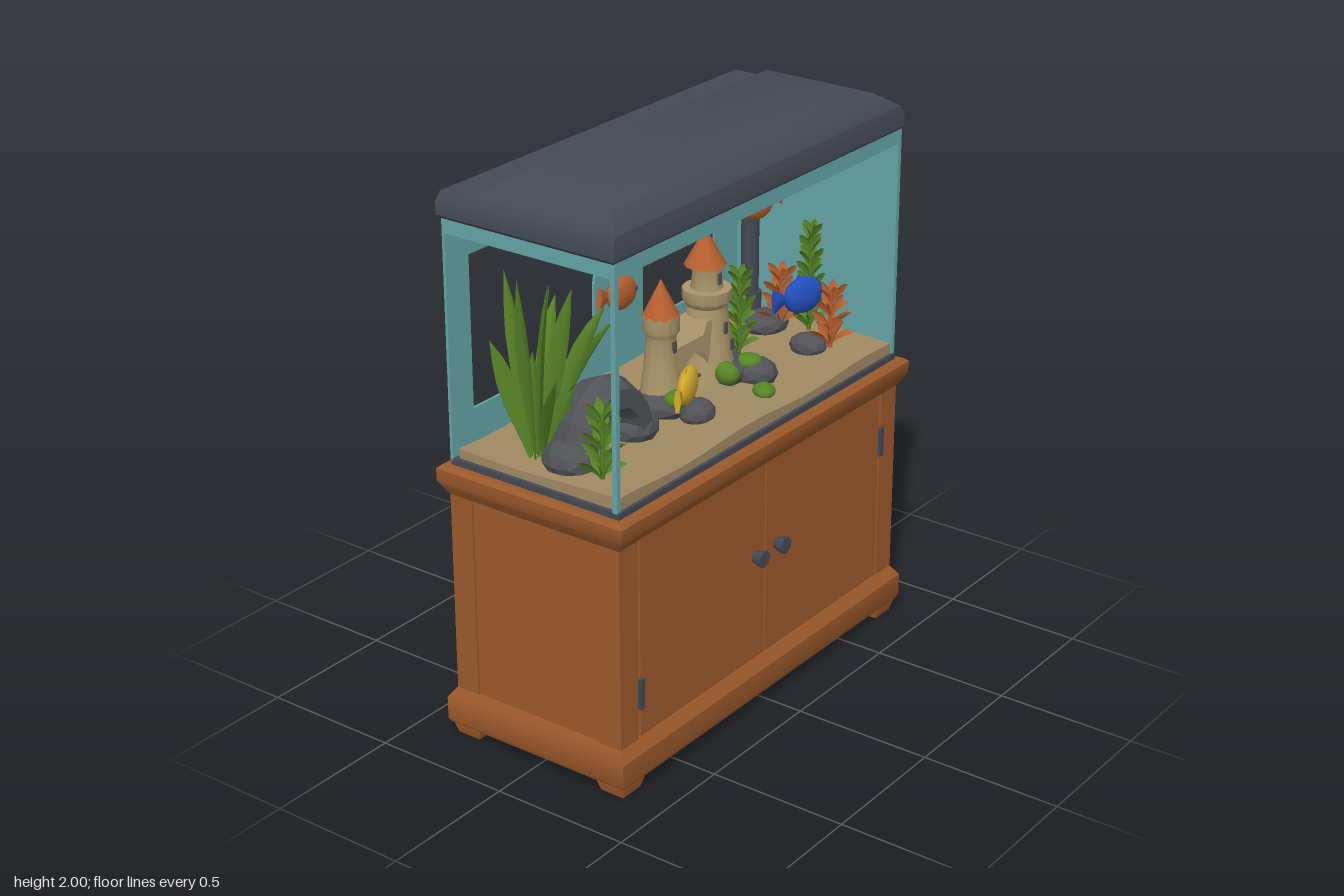
import * as THREE from 'three';
import { toCreasedNormals } from 'three/addons/utils/BufferGeometryUtils.js';

const material = (name, color, extra = {}) => {
  const m = new THREE.MeshStandardMaterial({ color, ...extra });
  m.name = name;
  return m;
};

export function createModel() {
  const root = new THREE.Group();
  root.name = 'aquariumOnCabinet';
  const wood = material('wood', 0x9c592b);
  const glass = material('glass', 0x66a5a8);
  const dark = material('darkPlastic', 0x444954);
  const sand = material('sand', 0xa18a63);
  const stone = material('castleStone', 0xac966c);
  const rock = material('rock', 0x515257, { flatShading: true });
  const orange = material('orange', 0xb8602f, { side: THREE.DoubleSide });
  const yellow = material('yellow', 0xd2aa2a);
  const blue = material('blue', 0x2450c2);
  const green = material('leafGreen', 0x578526, { side: THREE.DoubleSide });

  const group = (name) => {
    const g = new THREE.Group();
    g.name = name;
    root.add(g);
    return g;
  };
  const add = (parent, name, geo, mat, x = 0, y = 0, z = 0) => {
    const m = new THREE.Mesh(geo, mat);
    m.name = name;
    m.position.set(x, y, z);
    parent.add(m);
    return m;
  };
  const box = (parent, name, mat, x0, x1, y0, y1, z0, z1) =>
    add(parent, name, new THREE.BoxGeometry(x1 - x0, y1 - y0, z1 - z0), mat,
      (x0 + x1) / 2, (y0 + y1) / 2, (z0 + z1) / 2);

  // Stack of rectangles [y, x0, x1, z0, z1] joined into a closed solid
  const loft = (rings) => {
    const pos = [], idx = [];
    rings.forEach(([y, x0, x1, z0, z1]) => pos.push(x0, y, z1, x1, y, z1, x1, y, z0, x0, y, z0));
    for (let i = 0; i < rings.length - 1; i++) for (let j = 0; j < 4; j++) {
      const a = i * 4 + j, b = i * 4 + (j + 1) % 4;
      idx.push(a, b, b + 4, a, b + 4, a + 4);
    }
    const t = (rings.length - 1) * 4;
    idx.push(t, t + 1, t + 2, t, t + 2, t + 3, 0, 2, 1, 0, 3, 2);
    const g = new THREE.BufferGeometry();
    g.setAttribute('position', new THREE.Float32BufferAttribute(pos, 3));
    g.setIndex(idx);
    return toCreasedNormals(g, 0.6);
  };
  const ring = (y, x, z) => [y, -x, x, -z, z];

  // Cabinet
  const cabinet = group('cabinet');
  box(cabinet, 'body', wood, -0.79, 0.79, 0.06, 0.95, -0.335, 0.335);
  add(cabinet, 'topMoulding', loft([ring(0.895, 0.797, 0.345), ring(0.925, 0.815, 0.365),
    ring(0.945, 0.825, 0.378), ring(0.988, 0.825, 0.378), ring(1.0, 0.81, 0.365)]), wood);
  add(cabinet, 'plinth', loft([ring(0.045, 0.815, 0.365), ring(0.06, 0.822, 0.372),
    ring(0.14, 0.822, 0.372), ring(0.178, 0.797, 0.345)]), wood);
  for (const sx of [-1, 1]) for (const sz of [-1, 1]) {
    add(cabinet, 'cornerPost', new THREE.BoxGeometry(0.095, 0.76, 0.09), wood, sx * 0.75, 0.54, sz * 0.3);
    add(cabinet, 'foot', loft([ring(0, 0.045, 0.045), ring(0.035, 0.055, 0.055), ring(0.05, 0.055, 0.055)]),
      wood, sx * 0.75, 0, sz * 0.305);
  }
  for (const s of [-1, 1]) {
    add(cabinet, 'door', new THREE.BoxGeometry(0.689, 0.715, 0.016), wood, s * 0.348 - 0.003, 0.542, 0.339);
    const knob = add(cabinet, 'knob', new THREE.CylinderGeometry(0.032, 0.02, 0.042, 7), dark, s * 0.063, 0.575, 0.366);
    knob.rotation.x = Math.PI / 2;
    const hy = s < 0 ? 0.35 : 0.72;
    box(cabinet, 'hinge', dark, s * 0.697 - 0.01, s * 0.697 + 0.01, hy - 0.06, hy + 0.05, 0.335, 0.358);
  }

  // Tank: open front and one open side, glass on the back and the other side
  const tank = group('tank');
  box(tank, 'baseRim', dark, -0.79, 0.79, 0.995, 1.022, -0.342, 0.342);
  const bed = new THREE.BoxGeometry(1.55, 0.04, 0.65, 14, 1, 6);
  const bp = bed.attributes.position;
  for (let i = 0; i < bp.count; i++) if (bp.getY(i) > 0)
    bp.setY(i, 0.018 + 0.008 * Math.sin(bp.getX(i) * 9 + bp.getZ(i) * 7));
  bed.computeVertexNormals();
  add(tank, 'sandBed', bed, sand, 0, 1.04, 0.005);
  box(tank, 'sideGlass', glass, 0.78, 0.792, 1.02, 1.85, -0.342, 0.336);
  const back = new THREE.Shape([[-0.79, 1.015], [0.79, 1.015], [0.79, 1.85], [-0.79, 1.85]]
    .map((p) => new THREE.Vector2(...p)));
  const opening = new THREE.Path();
  opening.moveTo(-0.68, 1.16);
  opening.lineTo(-0.05, 1.16);
  opening.absarc(0.085, 1.37, 0.135, Math.PI, 0, true);
  opening.lineTo(0.22, 1.16);
  opening.lineTo(0.64, 1.16);
  opening.lineTo(0.64, 1.69);
  opening.lineTo(-0.68, 1.69);
  back.holes.push(opening);
  add(tank, 'backGlass', new THREE.ExtrudeGeometry(back, { depth: 0.01, bevelEnabled: false }), glass, 0, 0, -0.345);
  box(tank, 'frontTopStrip', glass, -0.79, 0.79, 1.795, 1.85, 0.326, 0.336);
  box(tank, 'sideTopStrip', glass, -0.792, -0.782, 1.795, 1.85, -0.34, 0.336);
  for (const x of [-0.783, 0.783])
    add(tank, 'frontCorner', new THREE.BoxGeometry(0.018, 0.83, 0.018), glass, x, 1.435, 0.327);

  // Hood
  const hood = group('hood');
  add(hood, 'hoodRim', loft([[1.845, -0.795, 0.79, -0.35, 0.335], [1.855, -0.803, 0.795, -0.355, 0.342],
    [1.9, -0.803, 0.795, -0.355, 0.342], [1.93, -0.785, 0.78, -0.35, 0.335]]), dark);
  add(hood, 'hoodLid', loft([[1.92, -0.785, 0.785, -0.218, 0.336], [1.935, -0.775, 0.77, -0.215, 0.33],
    [1.98, -0.735, 0.705, -0.155, 0.275], [2.0, -0.69, 0.655, -0.13, 0.225]]), dark);

  // Filter with its intake pipe
  const filter = group('filter');
  add(filter, 'filterBox', loft([[1.61, 0.635, 0.7, -0.27, -0.13], [1.66, 0.61, 0.72, -0.3, -0.1],
    [1.77, 0.6, 0.725, -0.3, -0.1]]), dark);
  add(filter, 'filterPipe', new THREE.CylinderGeometry(0.032, 0.032, 0.52, 10), dark, 0.668, 1.37, -0.2);
  add(filter, 'filterIntake', new THREE.CylinderGeometry(0.042, 0.042, 0.1, 10), dark, 0.668, 1.12, -0.2);

  // Rocks and moss: [x, y, z, rx, ry, rz]
  const rocks = group('rocks');
  const lump = (name, mat, [x, y, z, a, b, c], i) => {
    const m = add(rocks, name, new THREE.IcosahedronGeometry(1, 1), mat, x, y, z);
    m.scale.set(a, b, c);
    m.rotation.y = i * 1.3;
  };
  [[-0.66, 1.08, 0.05, 0.09, 0.07, 0.1], [-0.35, 1.08, 0.06, 0.08, 0.06, 0.09], [-0.13, 1.08, 0.02, 0.11, 0.05, 0.11],
    [0.18, 1.09, 0, 0.13, 0.07, 0.12], [0.25, 1.08, 0.12, 0.08, 0.055, 0.07], [-0.12, 1.07, 0.15, 0.07, 0.05, 0.06],
    [0.57, 1.07, 0.12, 0.07, 0.045, 0.06], [0.65, 1.07, -0.12, 0.09, 0.05, 0.08], [-0.42, 1.06, -0.12, 0.1, 0.05, 0.08],
  ].forEach((r, i) => lump('rock', rock, r, i));
  [[-0.15, 1.115, 0.09, 0.05, 0.03, 0.045], [0.11, 1.12, 0.1, 0.055, 0.04, 0.04], [0.24, 1.12, 0.1, 0.05, 0.025, 0.05],
    [0.16, 1.07, 0.22, 0.05, 0.025, 0.04], [0.1, 1.13, -0.12, 0.05, 0.03, 0.04],
  ].forEach((r, i) => lump('moss', green, r, i));
  const arch = add(rocks, 'rockArch', new THREE.TorusGeometry(0.155, 0.055, 6, 10, Math.PI), rock, -0.5, 1.06, 0.05);
  arch.scale.set(0.95, 1.2, 1.6);

  // Castle
  const castle = group('castle');
  const wall = new THREE.Shape([[-0.13, 1.06], [-0.075, 1.06], [-0.075, 1.14], [-0.05, 1.2], [0, 1.225], [0.05, 1.2],
    [0.075, 1.14], [0.075, 1.06], [0.15, 1.06], [0.15, 1.31], [0.06, 1.31], [0.04, 1.27], [-0.13, 1.27]]
    .map((p) => new THREE.Vector2(...p)));
  add(castle, 'gateWall', new THREE.ExtrudeGeometry(wall, { depth: 0.11, bevelEnabled: false }), stone, 0, 0, -0.055);
  const tower = (name, profile, x) =>
    add(castle, name, toCreasedNormals(new THREE.LatheGeometry(profile.map((p) => new THREE.Vector2(...p)), 12), 0.7), stone, x);
  tower('smallTower', [[0.078, 1.06], [0.062, 1.18], [0.05, 1.31], [0.062, 1.33], [0.062, 1.385], [0, 1.385]], -0.12);
  tower('tallTower', [[0.105, 1.06], [0.085, 1.18], [0.07, 1.34], [0.085, 1.36], [0.085, 1.4], [0.056, 1.4],
    [0.05, 1.45], [0.058, 1.49], [0, 1.49]], 0.135);
  add(castle, 'smallRoof', new THREE.ConeGeometry(0.064, 0.13, 10), orange, -0.12, 1.445);
  add(castle, 'tallRoof', new THREE.ConeGeometry(0.073, 0.13, 10), orange, 0.125, 1.55);
  box(castle, 'flagPole', stone, 0.122, 0.128, 1.6, 1.645, -0.003, 0.003);
  box(castle, 'flag', orange, 0.128, 0.15, 1.622, 1.645, -0.003, 0.003);
  for (const [x, y, z] of [[-0.12, 1.28, 0.055], [0.135, 1.27, 0.078], [0.135, 1.44, 0.052], [0.17, 1.2, 0.08]])
    box(castle, 'castleWindow', rock, x - 0.009, x + 0.009, y - 0.02, y + 0.02, z - 0.003, z + 0.004);

  // Leaf blade bent along a curve from base to tip
  const blade = (parent, mat, base, tip, width, turn, rise = 0.6) => {
    const a = new THREE.Vector3(...base), c = new THREE.Vector3(...tip);
    const b = new THREE.Vector3().lerpVectors(a, c, 0.35);
    b.y = a.y + (c.y - a.y) * rise;
    const curve = new THREE.QuadraticBezierCurve3(a, b, c);
    const face = new THREE.Vector3(Math.sin(turn), 0.15, Math.cos(turn));
    const geo = new THREE.PlaneGeometry(1, 1, 2, 6), p = geo.attributes.position;
    for (let i = 0; i < p.count; i++) {
      const t = p.getY(i) + 0.5, s = p.getX(i) * 2;
      const side = curve.getTangent(t).cross(face).normalize();
      const half = width * (0.12 * (1 - t) + Math.sin(Math.PI * t ** 1.2)) / 2;
      const v = curve.getPoint(t).addScaledVector(side, s * half).addScaledVector(face, -Math.abs(s) * half * 0.4);
      p.setXYZ(i, v.x, v.y, v.z);
    }
    geo.computeVertexNormals();
    add(parent, 'leaf', geo, mat);
  };

  // Tall broad-leaved plant
  const tall = group('tallPlant');
  for (let i = 0; i < 20; i++) {
    const t = (i % 10) / 9, low = i < 10 ? 0 : 1;
    const z = -0.06 + 0.13 * Math.sin(i * 2.4);
    blade(tall, green, [-0.7 + 0.06 * t, 1.06, -0.05 + z * 0.2],
      [-0.775 + (low ? 0.3 : 0.42) * t, 1.7 - 0.26 * t ** 1.5 - low * (0.15 + 0.08 * (i % 3)), z],
      0.062, Math.sin(i * 1.7) * 0.7, 0.5 + 0.2 * t);
  }

  // Bushy stem plants made of whorls of small leaves
  const bush = (name, mat, x, z, height, reach) => {
    const g = group(name);
    add(g, 'stem', new THREE.CylinderGeometry(0.006, 0.009, height, 5), mat, x, 1.05 + height / 2, z);
    const levels = Math.round(height / 0.05);
    for (let l = 0; l < levels; l++) for (let k = 0; k < 5; k++) {
      const ang = k * 1.257 + l * 0.7, y = 1.06 + (height * l) / levels, r = reach * (1 - 0.45 * l / levels);
      blade(g, mat, [x, y, z], [x + Math.cos(ang) * r, y + 0.07, z + Math.sin(ang) * r], 0.034, ang * 0.4, 0.9);
    }
  };
  bush('frontLeftPlant', green, -0.69, 0.2, 0.24, 0.085);
  bush('middlePlant', green, 0.38, -0.04, 0.3, 0.075);
  bush('rightPlant', green, 0.71, 0.03, 0.38, 0.065);
  bush('redPlantFront', orange, 0.62, 0.18, 0.22, 0.085);
  bush('redPlantBack', orange, 0.66, -0.06, 0.22, 0.085);

  // Fish, nose towards +x before turning
  const fish = (name, mat, x, y, z, length, height, yaw, roll) => {
    const g = group(name);
    const body = add(g, 'body', new THREE.SphereGeometry(0.5, 10, 8), mat, length * 0.1);
    body.scale.set(length * 0.8, height, height * 0.5);
    const tail = add(g, 'tail', new THREE.ConeGeometry(0.5, 1, 6), mat, -length * 0.33);
    tail.rotation.z = -Math.PI / 2;
    tail.scale.set(height * 0.75, length * 0.34, height * 0.2);
    const fin = add(g, 'fin', new THREE.ConeGeometry(0.5, 1, 5), mat, 0, height * 0.42, 0);
    fin.scale.set(length * 0.4, height * 0.35, height * 0.15);
    for (const s of [-1, 1])
      add(g, 'eye', new THREE.SphereGeometry(0.007, 6, 5), dark, length * 0.36, height * 0.1, s * height * 0.19);
    g.position.set(x, y, z);
    g.rotation.set(0, yaw, roll);
  };
  fish('orangeFishLeft', orange, -0.35, 1.53, 0, 0.19, 0.115, 0, -0.1);
  fish('orangeFishRight', orange, 0.45, 1.61, 0, 0.16, 0.115, Math.PI - 0.3, -0.15);
  fish('yellowFish', yellow, -0.28, 1.235, 0.22, 0.23, 0.12, 0.4, 0);
  fish('blueFish', blue, 0.31, 1.37, 0.25, 0.2, 0.13, -0.35, 0);

  return root;
}
